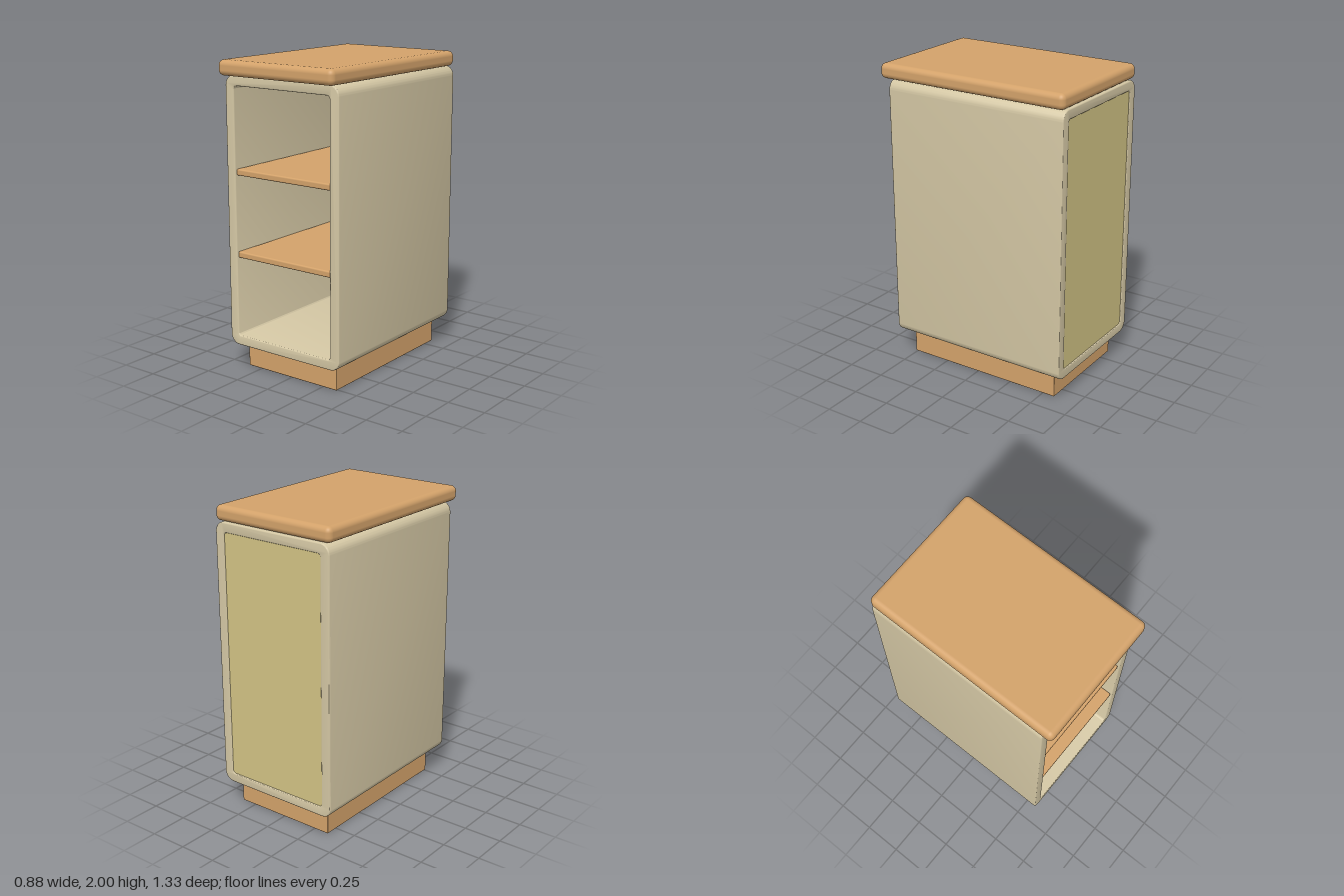
import * as THREE from 'three';
import { toCreasedNormals } from 'three/addons/utils/BufferGeometryUtils.js';
import { RoundedBoxGeometry } from 'three/addons/geometries/RoundedBoxGeometry.js';

const wood = new THREE.MeshStandardMaterial({ name: 'warm wood', color: 0xd3a26a });
const cream = new THREE.MeshStandardMaterial({ name: 'cream paint', color: 0xd4c7a4 });
const straw = new THREE.MeshStandardMaterial({ name: 'straw panel', color: 0xd2c384 });

// Traces a rounded rectangle, given its half width, bottom, top and corner radius
function roundedRect(path, w, y0, y1, r) {
  path.moveTo(w, y0 + r);
  path.lineTo(w, y1 - r);
  path.absarc(w - r, y1 - r, r, 0, Math.PI / 2);
  path.lineTo(-w + r, y1);
  path.absarc(-w + r, y1 - r, r, Math.PI / 2, Math.PI);
  path.lineTo(-w, y0 + r);
  path.absarc(-w + r, y0 + r, r, Math.PI, Math.PI * 1.5);
  path.lineTo(w - r, y0);
  path.absarc(w - r, y0 + r, r, Math.PI * 1.5, Math.PI * 2);
  return path;
}

export function createModel() {
  const model = new THREE.Group();
  model.name = 'cabinet';

  // Softly rounded board spanning the given heights and depths
  const board = (name, material, width, y0, y1, z0, z1, radius) => {
    const geometry = new RoundedBoxGeometry(width, y1 - y0, z1 - z0, 4, radius);
    const mesh = new THREE.Mesh(geometry, material);
    mesh.name = name;
    mesh.position.set(0, (y0 + y1) / 2, (z0 + z1) / 2);
    model.add(mesh);
  };

  // Hollow case, open at the front, with eased edges
  const bevel = 0.008;
  const outline = roundedRect(new THREE.Shape(), 0.435, 0.163, 1.902, 0.065);
  outline.holes.push(roundedRect(new THREE.Path(), 0.368, 0.228, 1.838, 0.02));
  const depth = 1.256;
  const caseGeometry = new THREE.ExtrudeGeometry(outline, {
    depth: depth - 2 * bevel, curveSegments: 8,
    bevelThickness: bevel, bevelSize: bevel, bevelOffset: -bevel, bevelSegments: 3,
  });
  caseGeometry.translate(0, 0, -0.661 + bevel);
  const shell = new THREE.Mesh(toCreasedNormals(caseGeometry, 0.7), cream);
  shell.name = 'case';
  model.add(shell);

  board('top', wood, 0.88, 1.902, 2, -0.663, 0.663, 0.035);
  board('plinth', wood, 0.712, 0, 0.18, -0.585, 0.513, 0.005);
  board('backPanel', straw, 0.75, 0.215, 1.85, -0.655, -0.635, 0.003);

  // Shelves
  for (const y of [0.745, 1.278]) {
    board('shelf', wood, 0.738, y, y + 0.041, -0.64, 0.585, 0.01);
  }
  return model;
}
